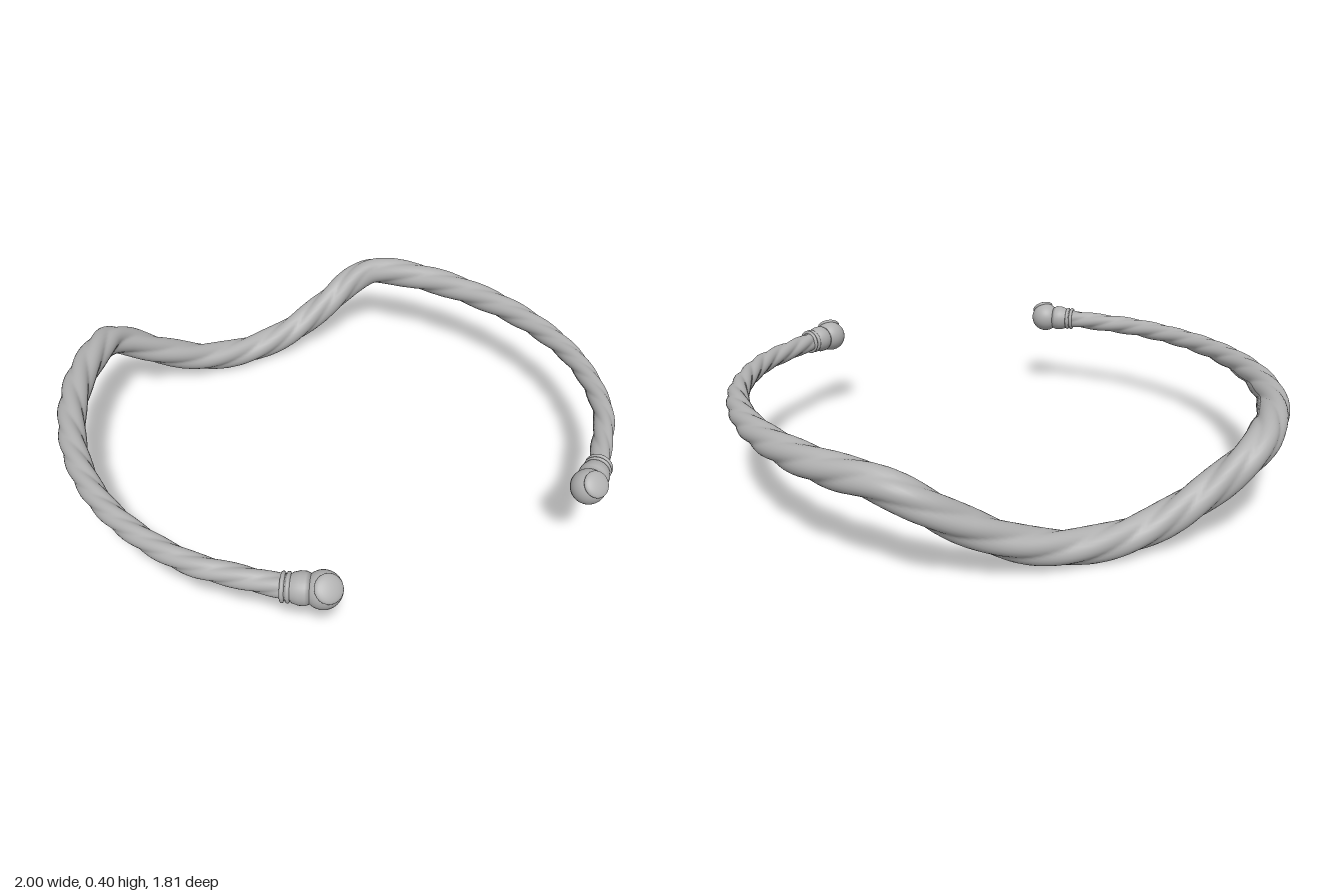
import * as THREE from 'three';

const metal = new THREE.MeshStandardMaterial({ color: 0xb0b0b0 });
metal.name = 'grey metal';

// Twisted four-lobed bar swept along a path, thicker towards the back
function twistedBar(curve, steps, sides) {
  const frames = curve.computeFrenetFrames(steps, false);
  const ds = curve.getLength() / steps;
  const positions = [], index = [];
  let phase = 0;
  for (let i = 0; i <= steps; i++) {
    const p = curve.getPointAt(i / steps);
    const radius = 0.037 + 0.021 * THREE.MathUtils.smoothstep(-p.z, -0.4, 0.86);
    phase += (ds / (3.7 * radius)) * (Math.PI / 2);
    for (let j = 0; j < sides; j++) {
      const a = (j / sides) * Math.PI * 2;
      const r = radius * (0.86 + 0.17 * Math.abs(Math.cos(2 * (a + phase))));
      const v = p.clone()
        .addScaledVector(frames.normals[i], r * Math.cos(a))
        .addScaledVector(frames.binormals[i], r * Math.sin(a));
      positions.push(v.x, v.y, v.z);
      if (i < steps) {
        const k = (j + 1) % sides;
        const a0 = i * sides + j, c0 = i * sides + k;
        index.push(a0, c0, a0 + sides, c0, c0 + sides, a0 + sides);
      }
    }
  }
  const geo = new THREE.BufferGeometry();
  geo.setAttribute('position', new THREE.Float32BufferAttribute(positions, 3));
  geo.setIndex(index);
  geo.computeVertexNormals();
  return geo;
}

// Collar, rings and ball at one open end
function terminal(side) {
  const group = new THREE.Group();
  group.name = side > 0 ? 'leftTerminal' : 'rightTerminal';
  const add = (name, geo, parent) => {
    const mesh = new THREE.Mesh(geo, metal);
    mesh.name = name;
    parent.add(mesh);
    return mesh;
  };

  // The stem's local +y runs from the bar to the ball
  const start = new THREE.Vector3(side * 0.6, 0.33, 0.765);
  const ball = new THREE.Vector3(side * 0.495, 0.33, 0.835);
  const stem = new THREE.Group();
  stem.name = 'stem';
  stem.position.copy(start);
  stem.quaternion.setFromUnitVectors(new THREE.Vector3(0, 1, 0), ball.clone().sub(start).normalize());
  group.add(stem);

  const profile = [[0, 0], [0.04, 0], [0.041, 0.03], [0.046, 0.034], [0.052, 0.055], [0.052, 0.075], [0.045, 0.09], [0, 0.09]];
  add('collar', new THREE.LatheGeometry(profile.map(([x, y]) => new THREE.Vector2(x, y)), 32), stem);
  for (const y of [0.005, 0.022]) {
    const ring = add('collarRing', new THREE.TorusGeometry(0.041, 0.007, 10, 32), stem);
    ring.rotation.x = Math.PI / 2;
    ring.position.y = y;
  }

  add('ball', new THREE.SphereGeometry(0.06, 32, 20), group).position.copy(ball);

  // Lens-shaped button facing forward and up
  const button = add('button', new THREE.SphereGeometry(0.046, 28, 14), group);
  button.scale.y = 0.36;
  button.rotation.x = Math.PI / 4;
  button.position.copy(ball).add(new THREE.Vector3(0, 0.034, 0.034));
  return group;
}

export function createModel() {
  const model = new THREE.Group();
  model.name = 'twistedNeckRing';

  // Left half of the path from the open end to the middle of the back
  const half = [
    [0.58, 0.33, 0.78], [0.69, 0.33, 0.67], [0.8, 0.33, 0.545], [0.89, 0.33, 0.37], [0.945, 0.33, 0.18],
    [0.958, 0.33, 0], [0.937, 0.33, -0.2], [0.875, 0.33, -0.41], [0.78, 0.33, -0.6], [0.66, 0.327, -0.755],
    [0.6, 0.31, -0.815], [0.53, 0.27, -0.843], [0.4, 0.185, -0.848], [0.2, 0.09, -0.848],
  ].map((p) => new THREE.Vector3(...p));
  const mirrored = half.map((p) => new THREE.Vector3(-p.x, p.y, p.z)).reverse();
  const path = new THREE.CatmullRomCurve3([...half, new THREE.Vector3(0, 0.06, -0.848), ...mirrored], false, 'centripetal');
  path.arcLengthDivisions = 600;

  const bar = new THREE.Mesh(twistedBar(path, 420, 32), metal);
  bar.name = 'twistedBar';
  model.add(bar, terminal(1), terminal(-1));
  return model;
}
